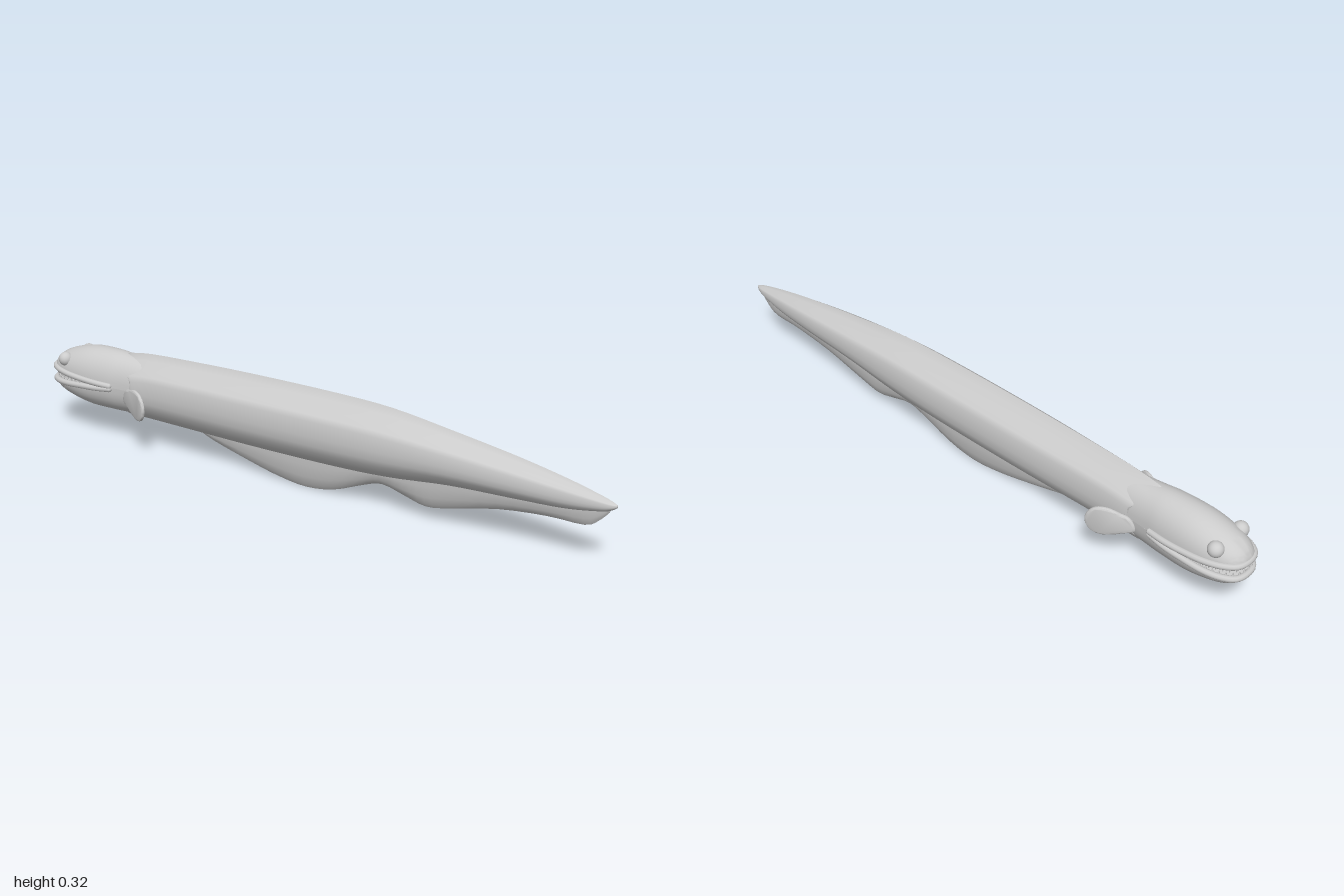
import * as THREE from 'three';
import { toCreasedNormals } from 'three/addons/utils/BufferGeometryUtils.js';

const material = new THREE.MeshStandardMaterial({ color: 0xcccccc, side: THREE.DoubleSide });

function add(parent, name, geometry) {
  const mesh = new THREE.Mesh(geometry, material);
  mesh.name = name;
  parent.add(mesh);
  return mesh;
}

// Smoothly subdivides a table of stations, column by column
function refine(rows, steps) {
  const out = [];
  const last = rows.length - 1;
  for (let i = 0; i < last; i++) {
    const [a, b, c, d] = [rows[Math.max(i - 1, 0)], rows[i], rows[i + 1], rows[Math.min(i + 2, last)]];
    for (let s = 0; s < steps; s++) {
      const t = s / steps;
      out.push(b.map((v, k) => v + 0.5 * t * (c[k] - a[k]
        + t * (2 * a[k] - 5 * v + 4 * c[k] - d[k] + t * (3 * (v - c[k]) + d[k] - a[k])))));
    }
  }
  out.push(rows[last]);
  return out;
}

// Skins closed rings (counter-clockwise seen from +z, ordered by rising z) and caps both ends
function loft(rings) {
  const n = rings[0].length;
  const pos = rings.flat(2);
  const index = [];
  for (let i = 0; i < rings.length - 1; i++) {
    for (let j = 0; j < n; j++) {
      const k = (j + 1) % n;
      const a = i * n + j, b = i * n + k;
      index.push(a, b, a + n, b, b + n, a + n);
    }
  }
  [0, rings.length - 1].forEach((r) => {
    const centre = pos.length / 3;
    for (let axis = 0; axis < 3; axis++) pos.push(rings[r].reduce((sum, p) => sum + p[axis] / n, 0));
    for (let j = 0; j < n; j++) {
      const a = r * n + j, b = r * n + (j + 1) % n;
      if (r === 0) index.push(centre, b, a);
      else index.push(centre, a, b);
    }
  });
  const geometry = new THREE.BufferGeometry();
  geometry.setAttribute('position', new THREE.Float32BufferAttribute(pos, 3));
  geometry.setIndex(index);
  geometry.computeVertexNormals();
  return geometry;
}

// Body: ridged cross-section, lower centre to top ridge, as fractions of half width and height
const half = [[0, 0], [0.32, 0.01], [0.64, 0.11], [0.85, 0.22], [0.96, 0.32], [1, 0.45],
  [0.98, 0.66], [0.82, 0.73], [0.58, 0.8], [0.26, 0.91], [0, 1]];
const section = [...half, ...half.slice(1, -1).reverse().map(([x, y]) => [-x, y])];

function bodyGeometry() {
  // z, top, bottom, half width
  const rows = refine([
    [-0.695, 0.293, 0.105, 0.066], [-0.685, 0.3, 0.1, 0.069], [-0.6, 0.312, 0.1, 0.07],
    [-0.45, 0.319, 0.1, 0.073], [-0.2, 0.326, 0.1, 0.078], [0.1, 0.328, 0.105, 0.079],
    [0.3, 0.322, 0.115, 0.075], [0.5, 0.297, 0.137, 0.066], [0.7, 0.268, 0.146, 0.051],
    [0.85, 0.24, 0.153, 0.034], [0.95, 0.216, 0.168, 0.019], [0.985, 0.205, 0.18, 0.011],
    [1, 0.198, 0.19, 0.003],
  ], 4);
  return loft(rows.map(([z, top, bottom, w]) => section.map(([x, y]) => {
    // The collar edge sweeps back along the sides
    const sweep = 0.06 * x * x * Math.max(0, Math.min(1, (-0.3 - z) / 0.39));
    return [x * w, bottom + y * (top - bottom), z + sweep];
  })));
}

// Keel fin below the body
function keelGeometry() {
  // z, top, bottom, half width
  const rows = refine([
    [-0.42, 0.12, 0.1, 0.004], [-0.35, 0.12, 0.073, 0.012], [-0.2, 0.12, 0.035, 0.02],
    [-0.1, 0.12, 0.014, 0.024], [0, 0.12, 0.004, 0.025], [0.1, 0.12, 0.019, 0.024],
    [0.2, 0.125, 0.058, 0.023], [0.27, 0.13, 0.079, 0.023], [0.35, 0.135, 0.061, 0.023],
    [0.42, 0.145, 0.046, 0.023], [0.5, 0.155, 0.06, 0.023], [0.65, 0.165, 0.097, 0.022],
    [0.8, 0.17, 0.115, 0.018], [0.91, 0.18, 0.118, 0.013], [0.95, 0.185, 0.14, 0.01],
    [0.98, 0.19, 0.172, 0.005],
  ], 3);
  const side = [[0, 0], [0.35, 0.12], [0.7, 0.35], [0.95, 0.7], [1, 1]];
  const ring = [...side, ...side.slice(1).reverse().map(([x, y]) => [-x, y])];
  return toCreasedNormals(loft(rows.map(([z, top, bottom, w]) =>
    ring.map(([x, y]) => [x * w, bottom + y * (top - bottom), z]))), 0.9);
}

// Head stations: z, crown, upper mouth line, lower mouth line, chin, half width
const headRows = refine([
  [-0.993, 0.222, 0.21, 0.177, 0.165, 0.018], [-0.98, 0.245, 0.209, 0.178, 0.145, 0.04],
  [-0.95, 0.266, 0.207, 0.18, 0.127, 0.06], [-0.9, 0.284, 0.204, 0.183, 0.113, 0.073],
  [-0.83, 0.298, 0.2, 0.187, 0.1, 0.078], [-0.74, 0.3, 0.196, 0.194, 0.099, 0.074],
  [-0.68, 0.295, 0.195, 0.195, 0.101, 0.067], [-0.58, 0.285, 0.195, 0.195, 0.108, 0.06],
], 4);

function jawGeometry(upper) {
  const rings = headRows.map(([z, crown, lipUp, lipLow, chin, w]) => {
    const base = upper ? lipUp : lipLow;
    const height = upper ? crown - base : base - chin;
    return Array.from({ length: 21 }, (_, j) => {
      const a = Math.PI * (j / 20 + (upper ? 0 : 1));
      return [w * Math.cos(a), base + height * Math.sign(Math.sin(a)) * Math.abs(Math.sin(a)) ** 0.9, z];
    });
  });
  return toCreasedNormals(loft(rings), 0.9);
}

// Curve running round the mouth from one corner to the other
function lipCurve(corner, front) {
  const side = [[0.073, -0.72, 0], [0.08, -0.77, 0.2], [0.081, -0.83, 0.4], [0.076, -0.9, 0.7],
    [0.061, -0.95, 0.9], [0.036, -0.982, 1]];
  const path = [...side, [0, -0.99, 1], ...side.slice().reverse().map(([x, z, t]) => [-x, z, t])];
  return new THREE.CatmullRomCurve3(path.map(([x, z, t]) =>
    new THREE.Vector3(x, corner + (front - corner) * t, z)));
}

function addMouth(parent, name, curve, down) {
  add(parent, name + 'Lip', new THREE.TubeGeometry(curve, 64, 0.0095, 10));
  [0, 1].forEach((t) => add(parent, name + 'LipEnd', new THREE.SphereGeometry(0.0095, 10, 8))
    .position.copy(curve.getPointAt(t)));
  // Teeth set just inside the lip
  for (let i = 0; i < 22; i++) {
    const p = curve.getPointAt(0.17 + 0.66 * (i + (down ? 0 : 0.5)) / 22);
    const tooth = add(parent, name + 'Tooth', new THREE.ConeGeometry(0.005, 0.02, 6));
    tooth.position.set(p.x * 0.95, p.y + (down ? -0.013 : 0.013), p.z + 0.003);
    if (down) tooth.rotation.x = Math.PI;
  }
}

// Paddle-shaped side fin
function paddleGeometry() {
  const outline = [[0, 0.165], [0.015, 0.195], [0.045, 0.205], [0.075, 0.213], [0.108, 0.208],
    [0.129, 0.185], [0.131, 0.16], [0.118, 0.138], [0.095, 0.13], [0.065, 0.135], [0.03, 0.15]];
  const curve = new THREE.CatmullRomCurve3(outline.map(([x, y]) => new THREE.Vector3(x, y, 0)), true);
  const points = curve.getPoints(44).slice(0, -1).map((p) => new THREE.Vector2(p.x, p.y));
  const geometry = new THREE.ExtrudeGeometry(new THREE.Shape(points), {
    depth: 0.002, bevelThickness: 0.005, bevelSize: 0.006, bevelSegments: 4,
  });
  geometry.translate(0, 0, -0.001);
  return toCreasedNormals(geometry, 0.8);
}

export function createModel() {
  const model = new THREE.Group();
  model.name = 'eel';
  add(model, 'body', bodyGeometry());
  add(model, 'keelFin', keelGeometry());

  const head = new THREE.Group();
  head.name = 'head';
  model.add(head);
  add(head, 'cranium', jawGeometry(true));
  add(head, 'lowerJaw', jawGeometry(false));
  addMouth(head, 'upper', lipCurve(0.2, 0.215), true);
  addMouth(head, 'lower', lipCurve(0.19, 0.172), false);

  // Paired eyes and side fins
  for (const s of [1, -1]) {
    const pair = new THREE.Group();
    pair.name = s > 0 ? 'leftSide' : 'rightSide';
    pair.scale.x = s;
    model.add(pair);
    add(pair, 'eye', new THREE.SphereGeometry(0.023, 24, 16)).position.set(0.055, 0.25, -0.92);
    const fin = add(pair, 'sideFin', paddleGeometry());
    fin.position.set(0.064, 0, -0.66);
    fin.rotation.y = -1.15;
  }
  return model;
}
